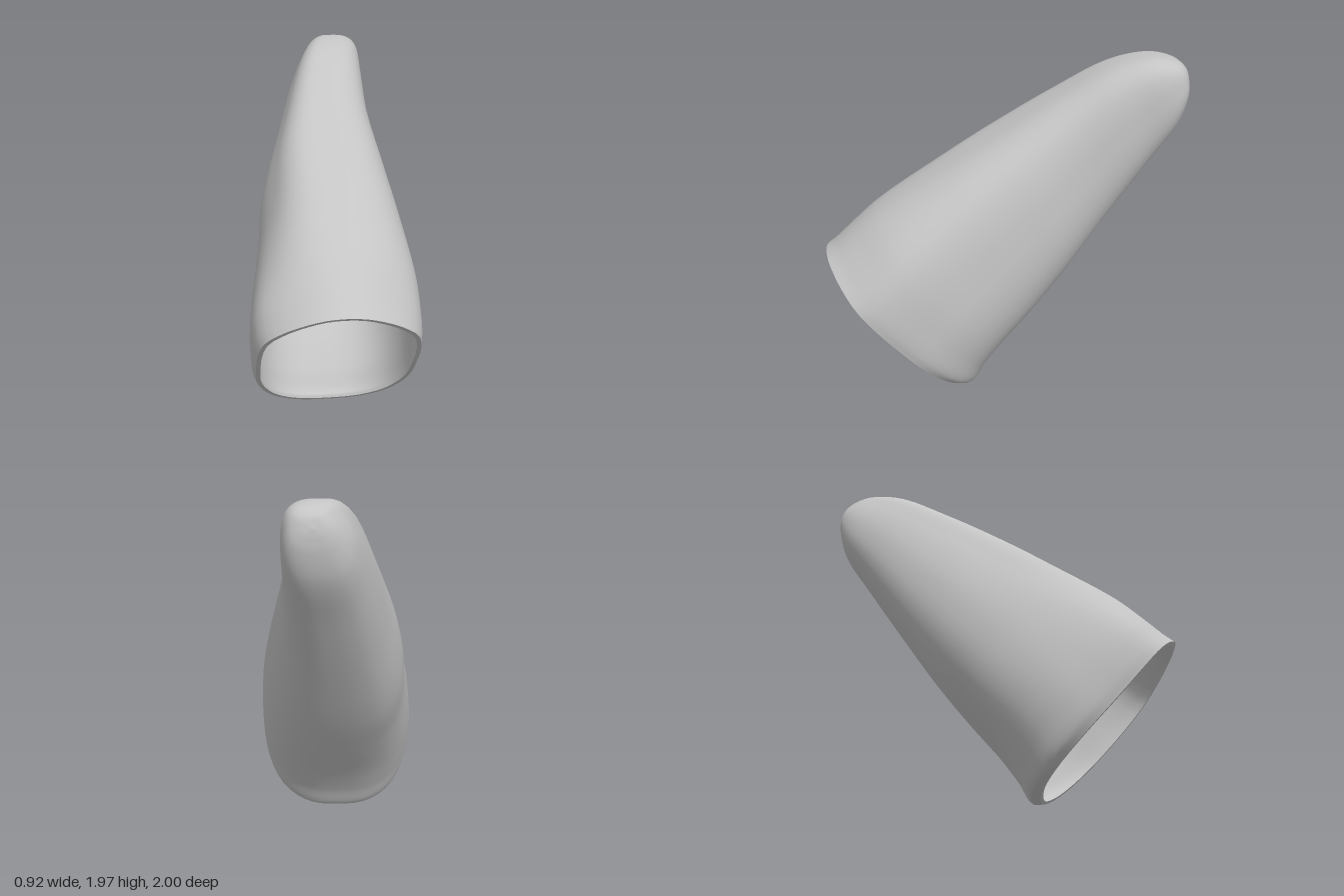
import * as THREE from 'three';

// Cross-sections from the open rim to the closed tip:
// upper edge [z, y], lower edge [z, y], x extent [min, max]
const SECTIONS = [
  [1.0, 0.87, 0.225, 0.005, -0.435, 0.435],
  [0.95, 0.905, 0.17, 0.005, -0.452, 0.45],
  [0.86, 0.985, 0.1, 0.12, -0.458, 0.457],
  [0.7, 1.12, 0.0, 0.26, -0.44, 0.455],
  [0.33, 1.36, -0.17, 0.46, -0.385, 0.415],
  [0.0, 1.56, -0.35, 0.685, -0.345, 0.37],
  [-0.3, 1.75, -0.57, 1.0, -0.245, 0.32],
  [-0.6, 1.925, -0.8, 1.35, -0.135, 0.312],
  [-0.8, 1.975, -0.95, 1.59, -0.045, 0.312],
  [-0.92, 1.955, -0.993, 1.73, 0.035, 0.28],
  [-0.975, 1.915, -1.0, 1.8, 0.09, 0.23],
  [-0.998, 1.855, -0.999, 1.845, 0.155, 0.165],
];
const AROUND = 56;

const closedOutline = (points) => new THREE.CatmullRomCurve3(
  points.map(([u, v]) => new THREE.Vector3(u, v, 0)), true
).getSpacedPoints(AROUND).slice(0, AROUND);

// Section near the opening: low arch on top, flat sides, rounded base
const HALF = [
  [0.23, 0.98], [0.46, 0.91], [0.72, 0.78], [0.92, 0.6], [0.99, 0.35], [1, 0],
  [0.99, -0.25], [0.93, -0.47], [0.8, -0.7], [0.62, -0.86], [0.36, -0.97],
];
const mouthOutline = closedOutline([
  [0, 1], ...HALF.map(([u, v]) => [-u, v]), [0, -1], ...[...HALF].reverse(),
]);

// Section towards the tip: the -x shoulder slopes more than the +x one
const tipOutline = closedOutline([
  [0, 1], [-0.42, 0.97], [-0.64, 0.83], [-0.79, 0.58], [-0.92, 0.3], [-1, -0.05],
  [-0.98, -0.35], [-0.9, -0.6], [-0.68, -0.85], [-0.36, -0.97], [0, -1],
  [0.36, -0.97], [0.66, -0.85], [0.88, -0.6], [0.98, -0.3], [1, 0.05],
  [0.98, 0.38], [0.88, 0.68], [0.7, 0.86], [0.42, 0.97],
]);

const upper = new THREE.CatmullRomCurve3(SECTIONS.map((s) => new THREE.Vector3(s[4], s[1], s[0])));
const lower = new THREE.CatmullRomCurve3(SECTIONS.map((s) => new THREE.Vector3(s[5], s[3], s[2])));

// One ring at t along the sleeve, shrunk inward by inset
function ring(t, inset = 0) {
  const a = upper.getPoint(t);
  const b = lower.getPoint(t);
  const cx = (a.x + b.x) / 2;
  const half = Math.max((b.x - a.x) / 2 - inset, 0.001);
  const mid = a.clone().add(b).multiplyScalar(0.5);
  const dir = a.clone().sub(b).multiplyScalar(0.5);
  const len = dir.length();
  dir.multiplyScalar(Math.max(len - inset, 0.001) / len);
  const blend = THREE.MathUtils.smoothstep(t, 0.15, 0.45);
  // The sides of the opening bulge slightly forward
  const bulge = 0.018 * Math.max(0, 1 - t * 5);
  return mouthOutline.map((p, i) => {
    const { x: u, y: v } = p.clone().lerp(tipOutline[i], blend);
    const push = bulge * (1 - v * v);
    return new THREE.Vector3(cx + half * u, mid.y + dir.y * v - push, mid.z + dir.z * v + push);
  });
}

// Skin a list of rings with smooth normals
function loft(name, rings, material) {
  const positions = rings.flat().flatMap((p) => [p.x, p.y, p.z]);
  const index = [];
  for (let r = 0; r < rings.length - 1; r++) {
    for (let i = 0; i < AROUND; i++) {
      const j = (i + 1) % AROUND;
      const a = r * AROUND + i, b = r * AROUND + j;
      const c = a + AROUND, d = b + AROUND;
      index.push(a, c, b, b, c, d);
    }
  }
  const geometry = new THREE.BufferGeometry();
  geometry.setAttribute('position', new THREE.Float32BufferAttribute(positions, 3));
  geometry.setIndex(index);
  geometry.computeVertexNormals();
  const mesh = new THREE.Mesh(geometry, material);
  mesh.name = name;
  return mesh;
}

export function createModel() {
  const group = new THREE.Group();
  group.name = 'hollowSleeve';
  const grey = new THREE.MeshStandardMaterial({ color: 0xc4c4c4 });
  grey.name = 'light grey';

  const steps = 66;
  const outer = [];
  const inner = [];
  for (let k = 0; k <= steps; k++) {
    const t = k / steps;
    outer.push(ring(t));
    inner.push(ring(t * 0.97, 0.024 - 0.008 * t));
  }
  // Close both ends with a collapsed ring
  for (const rings of [outer, inner]) {
    const last = rings[rings.length - 1];
    const centre = last.reduce((sum, p) => sum.add(p), new THREE.Vector3()).divideScalar(AROUND);
    rings.push(last.map(() => centre.clone()));
  }

  group.add(loft('outerSkin', outer, grey));
  group.add(loft('innerLining', [...inner].reverse(), grey));
  // Thin lip around the opening
  group.add(loft('rim', [inner[0], outer[0]], grey));
  return group;
}
